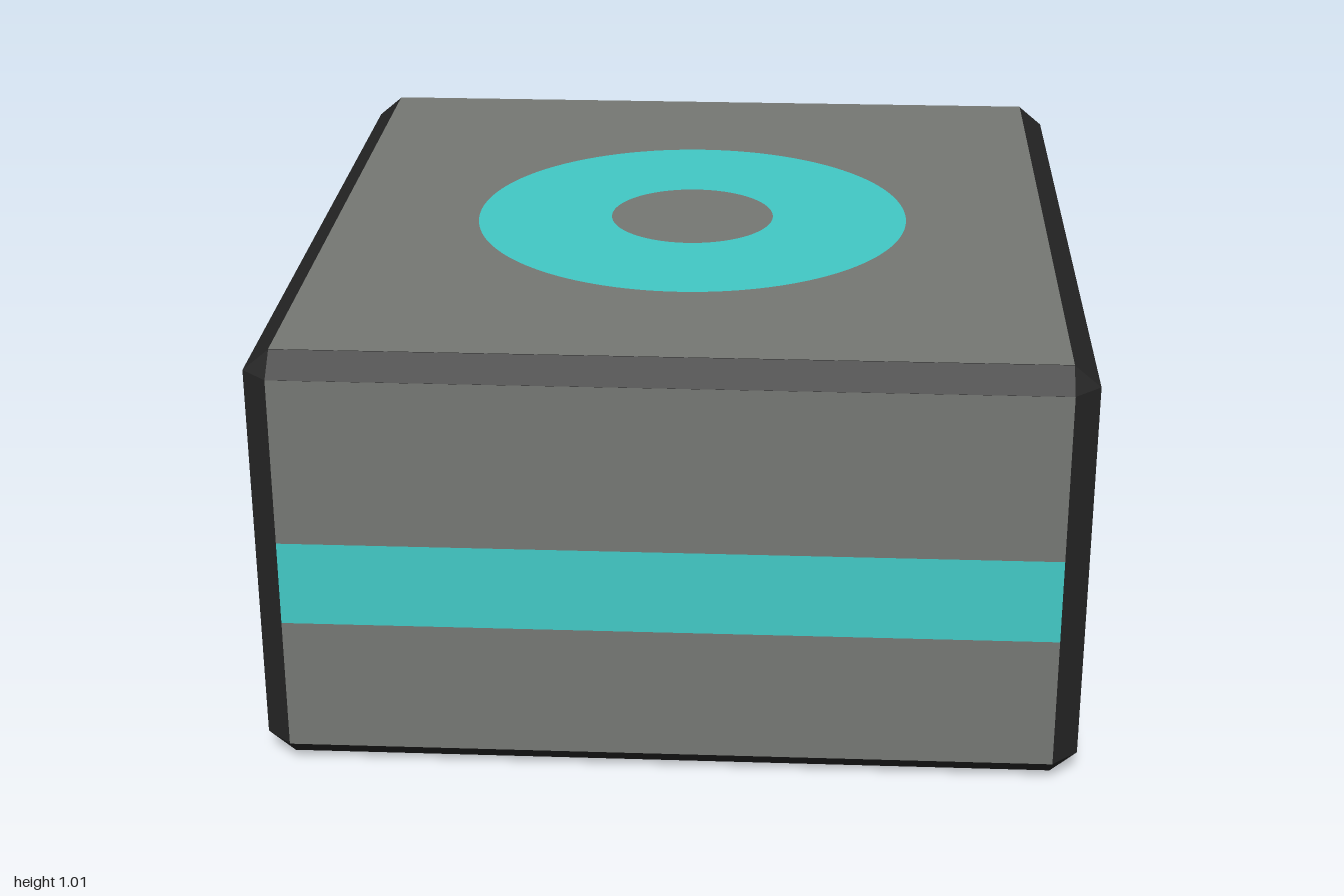
import * as THREE from 'three';
import { ConvexGeometry } from 'three/addons/geometries/ConvexGeometry.js';

const half = new THREE.Vector3(0.935, 0.505, 1);      // outer half size
const flat = new THREE.Vector3(0.875, 0.455, 0.945);  // half size of the flat faces
const LIFT = 0.001;

function material(name, color) {
  const m = new THREE.MeshStandardMaterial({ color });
  m.name = name;
  return m;
}

export function createModel() {
  const grey = material('grey panel', 0x757773);
  const black = material('black edge', 0x252525);
  const teal = material('teal marking', 0x42c8c5);
  const group = new THREE.Group();
  group.name = 'chamferedCrate';

  const add = (parent, name, geometry, mat) => {
    const mesh = new THREE.Mesh(geometry, mat);
    mesh.name = name;
    parent.add(mesh);
    return mesh;
  };

  // Chamfered body: three points around every corner
  const points = [];
  for (const x of [-1, 1]) for (const y of [-1, 1]) for (const z of [-1, 1]) {
    for (const axis of ['x', 'y', 'z']) {
      const p = flat.clone();
      p[axis] = half[axis];
      points.push(p.multiply(new THREE.Vector3(x, y, z)));
    }
  }
  add(group, 'chamferedEdges', new ConvexGeometry(points), black).position.y = half.y;

  // Side panels, each cut into grey, teal and grey bands
  const bottom = half.y - flat.y, top = half.y + flat.y;
  const sides = [
    ['front', 0, flat.x, half.z, 0.365, 0.565],
    ['left', Math.PI / 2, flat.z, half.x, 0.40, 0.59],
    ['back', Math.PI, flat.x, half.z, 0.39, 0.58],
    ['right', -Math.PI / 2, flat.z, half.x, 0.39, 0.585],
  ];
  for (const [name, turn, halfWidth, distance, low, high] of sides) {
    const side = new THREE.Group();
    side.name = name + 'Side';
    side.rotation.y = turn;
    const bands = [
      ['LowerPanel', bottom, low, grey],
      ['Stripe', low, high, teal],
      ['UpperPanel', high, top, grey],
    ];
    for (const [part, y0, y1, mat] of bands) {
      add(side, name + part, new THREE.PlaneGeometry(2 * halfWidth, y1 - y0), mat)
        .position.set(0, (y0 + y1) / 2, distance + LIFT);
    }
    group.add(side);
  }

  // Top and bottom panels with an inset ring and a grey centre
  const caps = [
    ['top', -1, 2 * half.y + LIFT, 0.53, 0.2],
    ['bottom', 1, -LIFT, 0.52, 0.195],
  ];
  for (const [name, dir, y, outer, inner] of caps) {
    const cap = new THREE.Group();
    cap.name = name + 'Side';
    cap.rotation.x = dir * Math.PI / 2;
    cap.position.y = y;
    const cx = 0.004, cy = dir * 0.022;

    const panel = new THREE.Shape([
      new THREE.Vector2(-flat.x, -flat.z), new THREE.Vector2(flat.x, -flat.z),
      new THREE.Vector2(flat.x, flat.z), new THREE.Vector2(-flat.x, flat.z),
    ]);
    panel.holes.push(new THREE.Path().absarc(cx, cy, outer, 0, Math.PI * 2, true));
    add(cap, name + 'Panel', new THREE.ShapeGeometry(panel, 64), grey);
    add(cap, name + 'Ring', new THREE.RingGeometry(inner, outer, 128), teal).position.set(cx, cy, 0);
    add(cap, name + 'Centre', new THREE.CircleGeometry(inner, 128), grey).position.set(cx, cy, 0);
    group.add(cap);
  }
  return group;
}
